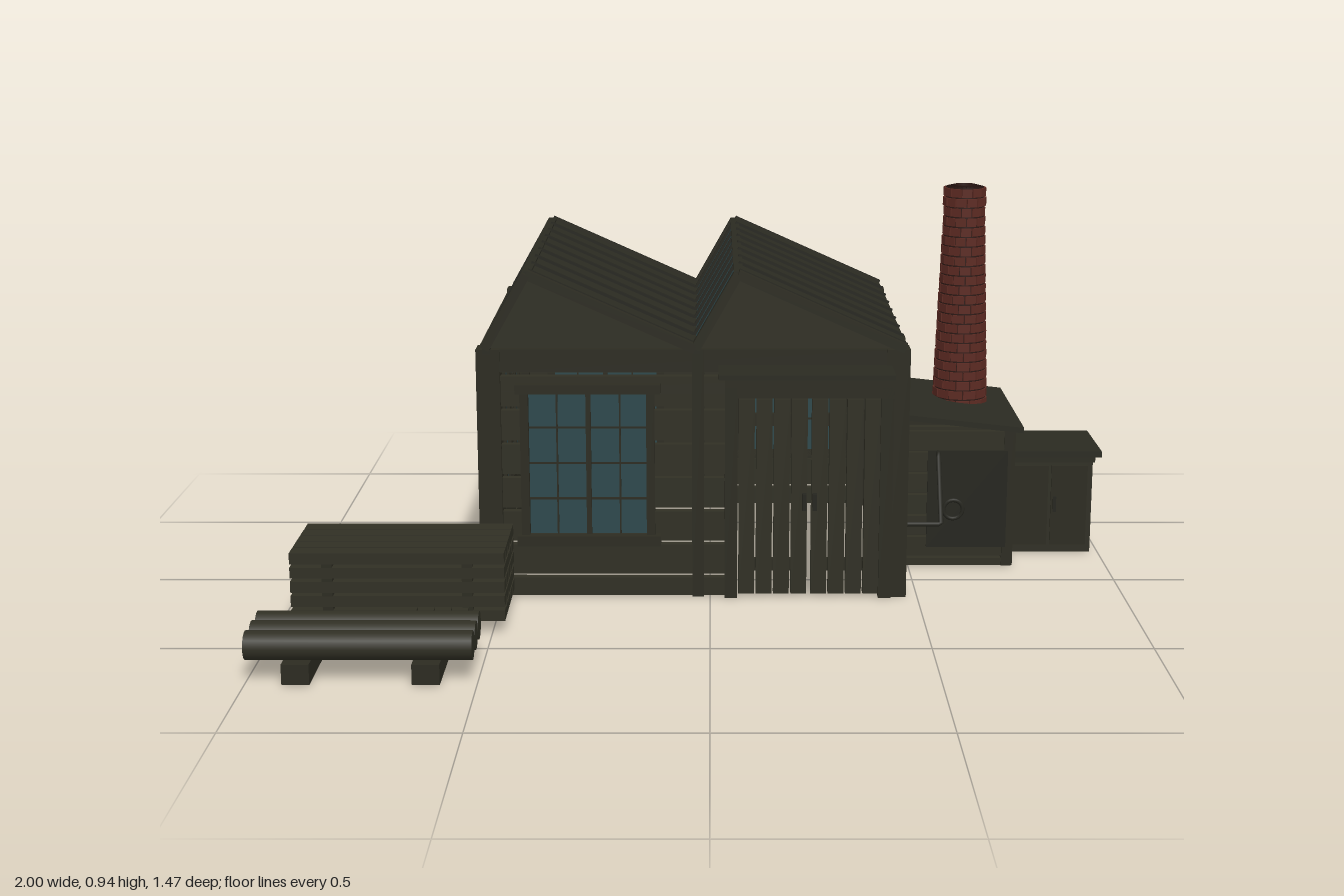
import * as THREE from 'three';

const mat = (name, color) => {
  const m = new THREE.MeshStandardMaterial({ color, side: THREE.DoubleSide });
  m.name = name;
  return m;
};

export function createModel() {
  const wood = mat('dark wood', 0x302f24), trim = mat('trim wood', 0x2c2b21);
  const roofing = mat('roof sheet', 0x2a2a21), iron = mat('dark iron', 0x25251e);
  const glass = mat('blue glass', 0x2d484c), brick = mat('red brick', 0x5c2a22);
  const mortar = mat('mortar', 0x2c1814);
  const model = new THREE.Group();
  model.name = 'sawmill';

  const group = (name, parent = model) => {
    const g = new THREE.Group();
    g.name = name;
    parent.add(g);
    return g;
  };
  const add = (parent, name, geo, m, x = 0, y = 0, z = 0) => {
    const mesh = new THREE.Mesh(geo, m);
    mesh.name = name;
    mesh.position.set(x, y, z);
    parent.add(mesh);
    return mesh;
  };
  // box from its lower and upper corners
  const box = (parent, name, m, x0, x1, y0, y1, z0, z1) =>
    add(parent, name, new THREE.BoxGeometry(x1 - x0, y1 - y0, z1 - z0), m, (x0 + x1) / 2, (y0 + y1) / 2, (z0 + z1) / 2);
  // sloping slab following a line in the xy plane
  const slope = (parent, name, m, [ax, ay], [bx, by], t, z0, z1) => {
    const s = add(parent, name, new THREE.BoxGeometry(Math.hypot(bx - ax, by - ay), t, z1 - z0), m,
      (ax + bx) / 2, (ay + by) / 2, (z0 + z1) / 2);
    s.rotation.z = Math.atan2(by - ay, bx - ax);
    return s;
  };

  // planked wall in a local frame: u along x, outside towards +z, holes are [u0, u1, y0, y1]
  const planks = (parent, u0, u1, top, holes, pitch = 0.083, gap = 0.01) => {
    for (let row = -0.033; row < top; row += pitch) {
      const lo = Math.max(0, row + gap / 2), hi = Math.min(top, row + pitch - gap / 2);
      if (hi - lo < 0.005) continue;
      const cuts = [lo, hi];
      holes.forEach(h => [h[2], h[3]].forEach(v => { if (v > lo && v < hi && !cuts.includes(v)) cuts.push(v); }));
      cuts.sort((a, b) => a - b);
      for (let i = 0; i < cuts.length - 1; i++) {
        const mid = (cuts[i] + cuts[i + 1]) / 2;
        let start = u0;
        const open = holes.filter(h => mid > h[2] && mid < h[3]).sort((a, b) => a[0] - b[0]);
        for (const h of [...open, [u1, u1]]) {
          if (h[0] - start > 0.004) box(parent, 'plank', wood, start, h[0], cuts[i], cuts[i + 1], -0.02, 0);
          start = h[1];
        }
      }
    }
  };

  // double sash window with glazing bars, sill and lintel
  const windowUnit = (parent, [u0, u1, y0, y1]) => {
    const g = group('window', parent), c = (u0 + u1) / 2, w = u1 - u0;
    box(g, 'windowGlass', glass, u0, u1, y0, y1, -0.014, -0.006);
    for (const u of [u0, u1]) box(g, 'windowJamb', trim, u - 0.012, u + 0.008, y0, y1, -0.022, 0.012);
    box(g, 'centreBar', trim, c - 0.006, c + 0.006, y0, y1, -0.022, 0.004);
    for (const f of [0.25, 0.75]) box(g, 'glazingBar', trim, u0 + w * f - 0.002, u0 + w * f + 0.002, y0, y1, -0.017, -0.002);
    for (let i = 1; i < 4; i++) {
      const y = y0 + (y1 - y0) * i / 4;
      box(g, 'glazingBar', trim, u0, u1, y - 0.0025, y + 0.0025, -0.017, -0.002);
    }
    box(g, 'windowSill', trim, u0 - 0.022, u1 + 0.022, y0 - 0.025, y0, -0.02, 0.025);
    box(g, 'windowLintel', trim, u0 - 0.022, u1 + 0.022, y1, y1 + 0.022, -0.02, 0.025);
  };

  // hall walls
  const wall = (name, x, z, turn, u0, u1, windows, door) => {
    const g = group(name);
    g.position.set(x, 0, z);
    g.rotation.y = turn;
    planks(g, u0, u1, 0.6, door ? [...windows, door] : windows);
    windows.forEach(w => windowUnit(g, w));
    box(g, 'topBeam', trim, u0, u1, 0.555, 0.61, -0.02, 0.008);
    if (!door) box(g, 'footBeam', trim, u0, u1, 0, 0.025, -0.02, 0.008);
    return g;
  };
  const hole = (u0, u1) => [u0, u1, 0.155, 0.505];
  const front = wall('frontWall', 0, 0.12, 0, -0.54, 0.46, [hole(-0.44, -0.14)], [0.06, 0.41, 0, 0.5]);
  wall('backWall', 0, -0.71, Math.PI, -0.46, 0.54, [hole(0.14, 0.44), hole(-0.37, -0.07)]);
  wall('rightWall', 0.46, 0, Math.PI / 2, -0.12, 0.71, [hole(0.085, 0.335), hole(0.365, 0.615)]);
  wall('leftWall', -0.54, 0, -Math.PI / 2, -0.71, 0.12, [hole(-0.615, -0.365), hole(-0.335, -0.085)]);
  for (const z of [0.105, -0.695]) {
    for (const x of [-0.525, 0.445]) box(model, 'cornerPost', trim, x - 0.028, x + 0.028, 0, 0.61, z - 0.028, z + 0.028);
    box(model, 'middlePost', trim, -0.043, -0.015, 0, 0.61, z - 0.026, z + 0.026);
  }

  // double plank door with canopy
  const door = group('door', front);
  for (let i = 0; i < 8; i++) {
    const u = 0.068 + i * 0.042 + (i > 3 ? 0.006 : 0);
    box(door, 'doorBoard', wood, u, u + 0.038, 0.008, 0.49, -0.01, 0.012);
  }
  for (const [a, b] of [[0.068, 0.232], [0.242, 0.4]])
    for (const y of [0.06, 0.42]) box(door, 'doorBrace', trim, a, b, y, y + 0.03, -0.02, -0.008);
  for (const u of [0.05, 0.42]) box(door, 'doorJamb', trim, u - 0.015, u + 0.015, 0, 0.52, -0.02, 0.022);
  box(door, 'doorLintel', trim, 0.035, 0.435, 0.495, 0.55, -0.02, 0.022);
  for (const u of [0.225, 0.25]) box(door, 'doorHandle', iron, u - 0.005, u + 0.005, 0.22, 0.26, 0.012, 0.028);
  box(door, 'canopy', roofing, 0.02, 0.43, 0.56, 0.572, 0, 0.118);

  // two sawtooth roof bays
  for (const x of [-0.53, -0.035]) {
    const bay = group('roofBay');
    const a = [x, 0.615], p = [x + 0.1, 0.792], b = [x + 0.495, 0.615];
    slope(bay, 'skylight', glass, a, p, 0.008, -0.72, 0.13);
    slope(bay, 'roofSheet', roofing, p, b, 0.012, -0.72, 0.14);
    for (let i = 0; i <= 8; i++) {
      const z = -0.725 + i * 0.107;
      slope(bay, 'skylightRib', iron, a, p, 0.022, z - 0.005, z + 0.005);
      slope(bay, 'roofRib', iron, p, b, 0.024, z - 0.005, z + 0.005);
    }
    box(bay, 'ridgeCap', roofing, p[0] - 0.01, p[0] + 0.012, 0.785, 0.798, -0.725, 0.14);
    box(bay, 'skylightFoot', roofing, x - 0.006, x + 0.012, 0.6, 0.625, -0.725, 0.14);
    const tri = new THREE.Shape([a, p, b].map(q => new THREE.Vector2(...q)));
    for (const [z, z0, z1] of [[0.125, 0.13, 0.155], [-0.725, -0.73, -0.71]]) {
      add(bay, 'gable', new THREE.ExtrudeGeometry(tri, { depth: 0.01, bevelEnabled: false }), wood, 0, 0, z);
      slope(bay, 'bargeBoard', trim, a, p, 0.022, z0, z1);
      slope(bay, 'bargeBoard', trim, p, b, 0.022, z0, z1);
    }
  }

  // wall ventilator
  const vent = group('ventilator');
  box(vent, 'ventHousing', iron, 0.46, 0.505, 0.375, 0.52, -0.645, -0.515);
  const ring = add(vent, 'ventRing', new THREE.TorusGeometry(0.052, 0.009, 8, 24), trim, 0.515, 0.445, -0.58);
  ring.rotation.y = Math.PI / 2;
  const hub = add(vent, 'ventHub', new THREE.CylinderGeometry(0.05, 0.05, 0.012, 24), iron, 0.508, 0.445, -0.58);
  hub.rotation.z = Math.PI / 2;
  for (let i = 0; i < 3; i++)
    add(vent, 'ventBlade', new THREE.BoxGeometry(0.006, 0.1, 0.012), trim, 0.517, 0.445, -0.58).rotation.x = i * Math.PI / 3;

  // boiler house
  const boiler = group('boilerHouse');
  for (const [x, z, turn, u0, u1] of [[0, -0.12, 0, 0.46, 0.76], [0, -0.53, Math.PI, -0.76, -0.46], [0.76, 0, Math.PI / 2, 0.12, 0.53]]) {
    const side = group('boilerHouseWall', boiler);
    side.position.set(x, 0, z);
    side.rotation.y = turn;
    planks(side, u0, u1, 0.36, [], 0.055, 0.006);
    box(side, 'backing', trim, u0, u1, 0, 0.36, -0.025, -0.018);
    for (const u of [u0 + 0.012, u1 - 0.012]) box(side, 'boilerHousePost', trim, u - 0.012, u + 0.012, 0, 0.355, -0.02, 0.004);
  }
  slope(boiler, 'boilerHouseRoof', roofing, [0.46, 0.392], [0.78, 0.356], 0.014, -0.55, -0.1);
  box(boiler, 'fireDoor', iron, 0.545, 0.745, 0.05, 0.3, -0.12, -0.114);
  add(boiler, 'valveWheel', new THREE.TorusGeometry(0.024, 0.005, 8, 20), iron, 0.61, 0.15, -0.108);
  const pipe = new THREE.CurvePath();
  const pts = [[0.45, 0.14, -0.01], [0.57, 0.14, -0.01], [0.57, 0.295, -0.105], [0.57, 0.295, -0.13]].map(p => new THREE.Vector3(...p));
  for (let i = 0; i < 3; i++) pipe.add(new THREE.LineCurve3(pts[i], pts[i + 1]));
  add(boiler, 'steamPipe', new THREE.TubeGeometry(pipe, 40, 0.006, 8), iron);

  // store box
  const store = group('storeBox');
  box(store, 'storeBody', wood, 0.755, 0.98, 0, 0.25, -0.43, -0.235);
  box(store, 'storeRoof', roofing, 0.755, 1, 0.255, 0.27, -0.445, -0.222);
  box(store, 'storeEave', trim, 0.755, 0.985, 0.24, 0.256, -0.435, -0.23);
  for (const x of [0.775, 0.875]) box(store, 'storeDoor', trim, x, x + 0.092, 0.02, 0.23, -0.236, -0.23);
  box(store, 'storeHandle', iron, 0.88, 0.888, 0.11, 0.15, -0.232, -0.224);

  // tapered brick chimney, open at the top
  const chimney = group('chimney');
  chimney.position.set(0.65, 0, -0.375);
  const radius = y => 0.071 - 0.02 * (y - 0.36) / 0.56;
  const core = [[0.03, 0.36], [0.068, 0.36], [0.048, 0.93], [0.029, 0.935], [0.027, 0.6], [0, 0.6]];
  add(chimney, 'chimneyCore', new THREE.LatheGeometry(core.map(p => new THREE.Vector2(...p)), 24), mortar);
  for (let row = 0; row < 23; row++) {
    const y = 0.372 + row * 0.0248, r = radius(y) + (row > 20 ? 0.003 : 0), n = 12;
    for (let i = 0; i < n; i++) {
      const t = (i + (row % 2) / 2) / n * Math.PI * 2;
      const b = add(chimney, 'chimneyBrick', new THREE.BoxGeometry(2 * r * Math.sin(Math.PI / n) - 0.003, 0.021, 0.018), brick,
        Math.sin(t) * (r - 0.01), y, Math.cos(t) * (r - 0.01));
      b.rotation.y = t;
    }
  }

  // stack of sawn boards on bearers
  const stack = group('boardStack');
  for (const x of [-0.875, -0.555]) box(stack, 'stackBearer', trim, x - 0.018, x + 0.018, 0, 0.03, 0.14, 0.4);
  for (let layer = 0; layer < 5; layer++) {
    const y = 0.03 + layer * 0.034;
    for (let i = 0; i < 5; i++) box(stack, 'stackedBoard', wood, -0.96, -0.47, y, y + 0.026, 0.16 + i * 0.049, 0.203 + i * 0.049);
    if (layer < 4) for (const x of [-0.875, -0.555]) box(stack, 'stackSpacer', trim, x - 0.012, x + 0.012, y + 0.026, y + 0.034, 0.16, 0.4);
  }

  // small stack of short boards
  const small = group('shortBoardStack');
  for (let layer = 0; layer < 3; layer++) {
    const y = 0.01 + layer * 0.021;
    for (let i = 0; i < 4; i++) box(small, 'shortBoard', wood, -0.7 + i * 0.039, -0.668 + i * 0.039, y, y + 0.015, 0.41, 0.52);
    for (const z of [0.43, 0.49]) box(small, 'shortSpacer', trim, -0.69, -0.56, y - 0.008, y, z, z + 0.012);
  }

  // logs on bearers
  const logs = group('logPile');
  for (const x of [-0.89, -0.61]) box(logs, 'logBearer', trim, x - 0.03, x + 0.03, 0, 0.046, 0.545, 0.73);
  for (const z of [0.57, 0.635, 0.7])
    add(logs, 'log', new THREE.CylinderGeometry(0.032, 0.032, 0.49, 20), wood, -0.755, 0.08, z).rotation.z = Math.PI / 2;

  return model;
}
